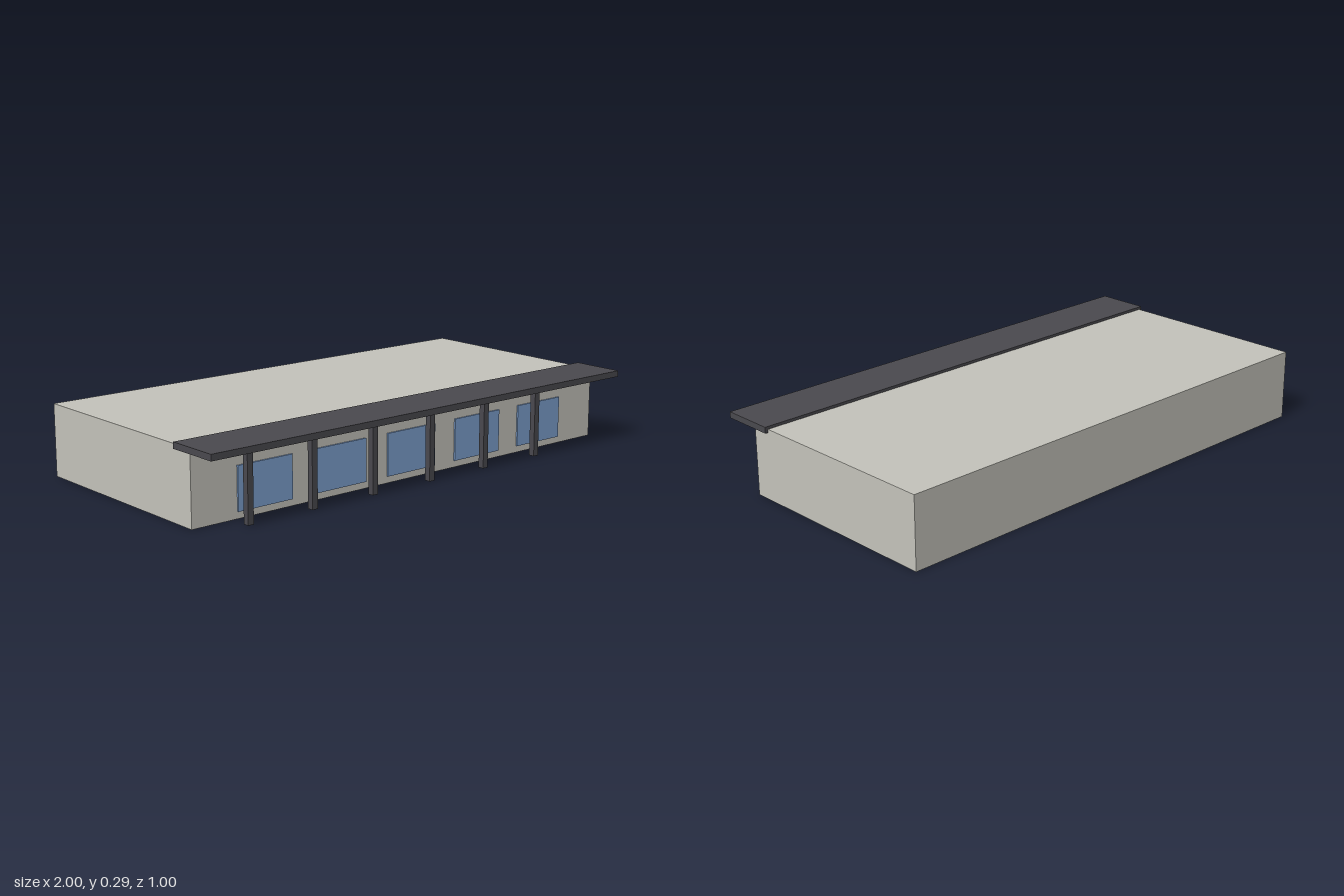
import * as THREE from 'three';

const material = (name, color) => {
  const m = new THREE.MeshStandardMaterial({ color });
  m.name = name;
  return m;
};

export function createModel() {
  const wall = material('wall grey', 0xc4c3bb);
  const dark = material('dark metal', 0x4a494e);
  const glass = material('window blue', 0x7c9fce);

  const model = new THREE.Group();
  model.name = 'pavilion';

  // Box given by its lower and upper corner
  const box = (name, mat, [x0, y0, z0], [x1, y1, z1], parent = model) => {
    const mesh = new THREE.Mesh(new THREE.BoxGeometry(x1 - x0, y1 - y0, z1 - z0), mat);
    mesh.position.set((x0 + x1) / 2, (y0 + y1) / 2, (z0 + z1) / 2);
    mesh.name = name;
    parent.add(mesh);
  };
  const group = (name) => {
    const g = new THREE.Group();
    g.name = name;
    model.add(g);
    return g;
  };

  // Main block and the canopy over its front edge
  box('building', wall, [-0.988, 0, -0.5], [0.988, 0.278, 0.365]);
  box('canopy', dark, [-1, 0.265, 0.287], [1, 0.289, 0.5]);

  // Row of posts under the canopy, set off to one side
  const posts = group('posts');
  for (let i = 0; i < 6; i++) {
    const x = -0.806 + i * 0.278;
    box('post', dark, [x - 0.012, 0, 0.427], [x + 0.012, 0.265, 0.451], posts);
  }

  // Five windows standing slightly proud of the front wall
  const windows = group('windows');
  for (let i = -2; i <= 2; i++) {
    const x = i * 0.34;
    box('window', glass, [x - 0.118, 0.026, 0.364], [x + 0.118, 0.189, 0.371], windows);
  }

  return model;
}
